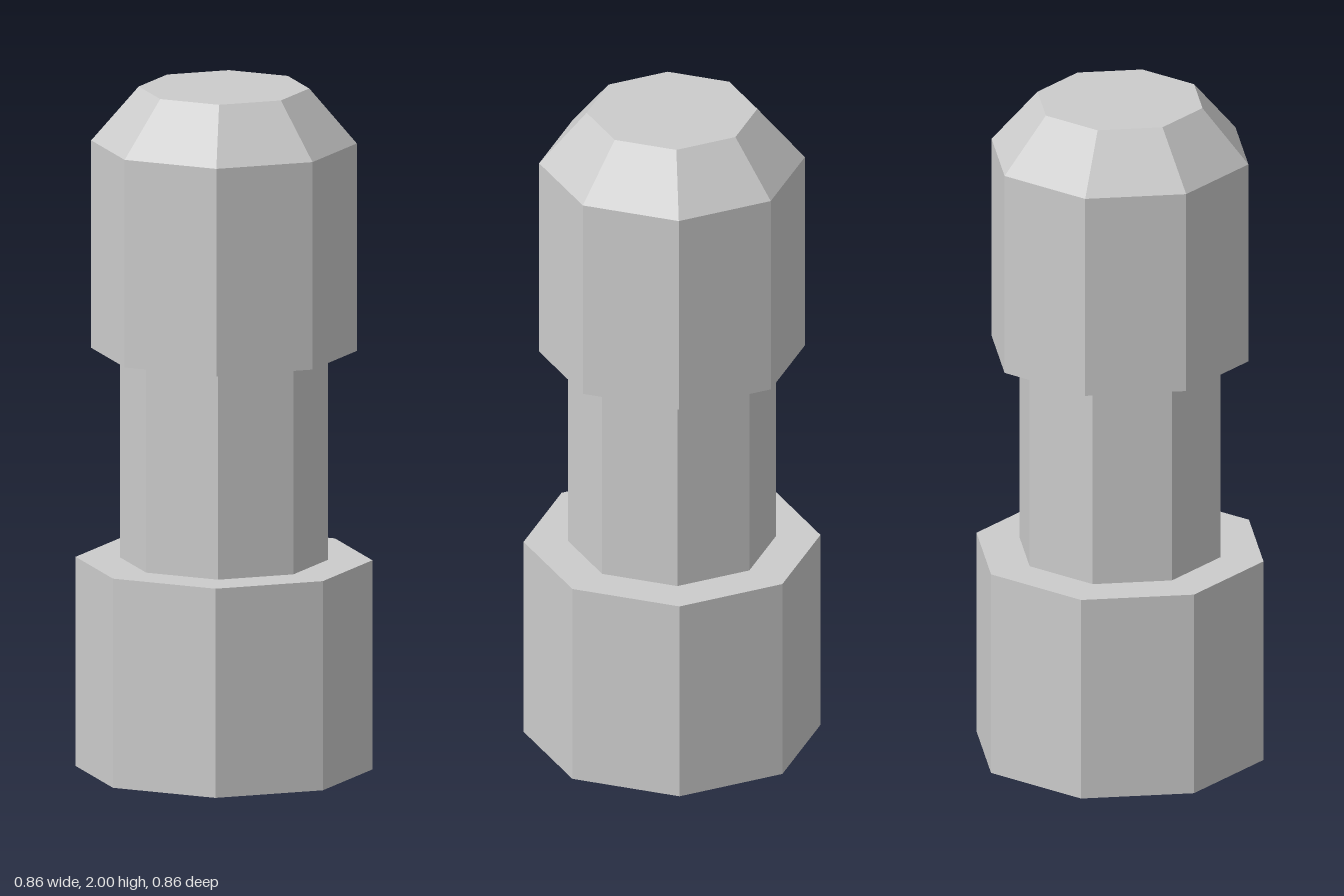
import * as THREE from 'three';

const SIDES = 8;

// Faceted open shell turned from [radius, height] points, listed bottom to top
function turnedPart(name, profile, material) {
  const points = profile.map(([r, y]) => new THREE.Vector2(r, y));
  const mesh = new THREE.Mesh(new THREE.LatheGeometry(points, SIDES), material);
  mesh.name = name;
  return mesh;
}

export function createModel() {
  const group = new THREE.Group();
  group.name = 'post';
  const material = new THREE.MeshStandardMaterial({
    color: 0xcccccc, flatShading: true, side: THREE.DoubleSide,
  });

  const neckRadius = 0.3;

  // Wide foot, hollow and open underneath, with a flat shoulder
  group.add(turnedPart('base', [[0.428, 0], [0.428, 0.615], [neckRadius, 0.615]], material));

  // Slim middle section
  group.add(turnedPart('neck', [[neckRadius, 0.615], [neckRadius, 1.23]], material));

  // Head with a flat underside, bevelled rim and closed top
  group.add(turnedPart('head',
    [[neckRadius, 1.23], [0.383, 1.23], [0.383, 1.84], [0.246, 2], [0, 2]], material));

  return group;
}
